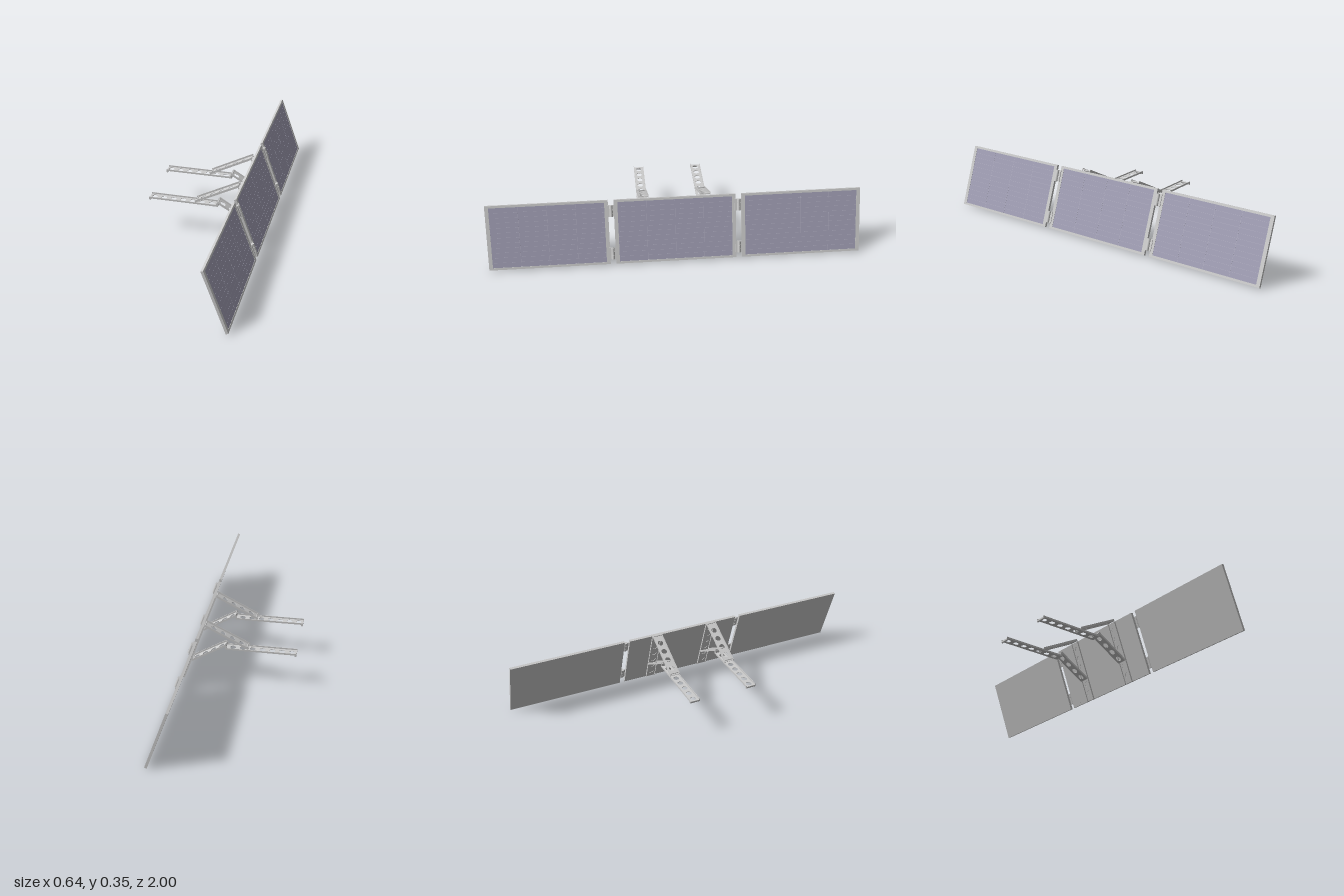
import * as THREE from 'three';

const grey = new THREE.MeshStandardMaterial({ color: 0xcccccc });
const cellMat = new THREE.MeshStandardMaterial({ color: 0xa09eb4 });
const lineMat = new THREE.MeshStandardMaterial({ color: 0xb0aec0 });

const ARM_Z = 0.165, ARM_W = 0.055, WALL = 0.0025;
const SLOPE = 0.346, LENGTH = 0.354;   // panel tilt (radians) and sloped height

function add(parent, name, geometry, material = grey) {
  const mesh = new THREE.Mesh(geometry, material);
  mesh.name = name;
  parent.add(mesh);
  return mesh;
}

// box given by its minimum and maximum corners
function box(parent, name, [x0, y0, z0], [x1, y1, z1], material) {
  const mesh = add(parent, name, new THREE.BoxGeometry(x1 - x0, y1 - y0, z1 - z0), material);
  mesh.position.set((x0 + x1) / 2, (y0 + y1) / 2, (z0 + z1) / 2);
  return mesh;
}

// perforated U channel running along +x, open towards +y
function channel(name, length, depth, first, step, count) {
  const group = new THREE.Group();
  group.name = name;
  const w = ARM_W / 2;
  const shape = new THREE.Shape([[0, -w], [length, -w], [length, w], [0, w]].map(p => new THREE.Vector2(...p)));
  for (let i = 0; i < count; i++) {
    const hole = new THREE.Path();
    hole.absarc(first + i * step, 0, 0.0155, 0, Math.PI * 2, true);
    shape.holes.push(hole);
  }
  const plate = new THREE.ExtrudeGeometry(shape, { depth: WALL, bevelEnabled: false, curveSegments: 20 });
  plate.rotateX(Math.PI / 2).translate(0, WALL, 0);
  add(group, 'web', plate);
  for (const s of [-1, 1]) {
    const z = s * (w - WALL / 2);
    box(group, 'flange', [0, 0, z - WALL / 2], [length, depth, z + WALL / 2]);
  }
  return group;
}

// framed solar panel in the tilted frame: x is the outward normal, y runs up the slope
function panel(name, z0, z1) {
  const group = new THREE.Group();
  group.name = name;
  const back = 0.009, front = 0.0225, b = 0.02, face = front - 0.0015;
  box(group, 'frameBottom', [back, 0, z0], [front, b * 0.6, z1]);
  box(group, 'frameTop', [back, LENGTH - b * 0.6, z0], [front, LENGTH, z1]);
  box(group, 'frameSide', [back, b * 0.6, z0], [front, LENGTH - b * 0.6, z0 + b]);
  box(group, 'frameSide', [back, b * 0.6, z1 - b], [front, LENGTH - b * 0.6, z1]);
  const y0 = b * 0.6, y1 = LENGTH - y0, a0 = z0 + b, a1 = z1 - b;
  box(group, 'backSheet', [back, y0, a0], [back + 0.004, y1, a1]);
  box(group, 'cells', [back + 0.004, y0, a0], [face, y1, a1], cellMat);
  // conductor lines between the cells
  for (let i = 1; i < 4; i++) {
    const z = a0 + (a1 - a0) * i / 4;
    box(group, 'conductor', [face, y0, z - 0.0007], [face + 0.0004, y1, z + 0.0007], lineMat);
  }
  for (let i = 1; i < 12; i++) {
    const y = y0 + (y1 - y0) * i / 12;
    box(group, 'conductor', [face, y - 0.0005, a0], [face + 0.0003, y + 0.0005, a1], lineMat);
  }
  return group;
}

// hinge: two leaves and a round knuckle split in three
function hinge(y0, y1, z) {
  const group = new THREE.Group();
  group.name = 'hinge';
  for (const s of [-1, 1]) {
    const a = z + s * 0.006, b = z + s * 0.021;
    box(group, 'hingeLeaf', [0.0225, y0, Math.min(a, b)], [0.0265, y1, Math.max(a, b)]);
  }
  const part = (y1 - y0) / 3;
  for (let i = 0; i < 3; i++) {
    const knuckle = add(group, 'knuckle', new THREE.CylinderGeometry(0.009, 0.009, part - 0.0015, 20));
    knuckle.position.set(0.027, y0 + part * (i + 0.5), z);
  }
  add(group, 'hingePin', new THREE.CylinderGeometry(0.005, 0.005, y1 - y0, 16)).position.set(0.027, (y0 + y1) / 2, z);
  return group;
}

// support bracket: base arm, upper arm and strut, centred on z = 0
function bracket() {
  const group = new THREE.Group();
  group.name = 'bracket';

  const base = channel('baseArm', 0.385, 0.01, 0.025, 0.0535, 7);
  base.position.set(-0.32, 0.204, 0);
  group.add(base);

  // rounded lip under the far end of the base arm
  box(group, 'lip', [-0.32, 0.2, -ARM_W / 2], [-0.31, 0.206, ARM_W / 2]);
  const roll = add(group, 'lipEdge', new THREE.CylinderGeometry(0.005, 0.005, ARM_W, 20));
  roll.rotation.x = Math.PI / 2;
  roll.position.set(-0.315, 0.2, 0);

  // ears that carry the strut
  const outline = [[0.055, 0.205], [0.065, 0.205], [0.065, 0.22], [0.075, 0.229], [0.065, 0.235], [0.057, 0.226]];
  const ear = new THREE.ExtrudeGeometry(new THREE.Shape(outline.map(p => new THREE.Vector2(...p))),
    { depth: WALL, bevelEnabled: false });
  add(group, 'ear', ear).position.z = -ARM_W / 2;
  add(group, 'ear', ear).position.z = ARM_W / 2 - WALL;
  box(group, 'endWall', [0.0625, 0.204, -ARM_W / 2], [0.065, 0.222, ARM_W / 2]);

  const upper = channel('upperArm', 0.268, 0.012, 0.045, 0.0565, 4);
  upper.position.set(-0.06, 0.214, 0);
  upper.rotation.z = 0.477;
  group.add(upper);

  const strut = channel('strut', 0.218, 0.011, 0.03, 0.0535, 4);
  strut.position.set(0.061, 0.224, 0);
  strut.rotation.z = -0.535;
  group.add(strut);

  // pivot pins
  for (const [x, y] of [[-0.054, 0.224], [0.066, 0.228], [0.172, 0.339], [0.246, 0.12]]) {
    const pin = add(group, 'pivotPin', new THREE.CylinderGeometry(0.003, 0.003, ARM_W - 0.001, 12));
    pin.rotation.x = Math.PI / 2;
    pin.position.set(x, y, 0);
  }
  return group;
}

export function createModel() {
  const model = new THREE.Group();
  model.name = 'foldingSolarPanel';

  // tilted panel assembly
  const tilted = new THREE.Group();
  tilted.name = 'panelAssembly';
  tilted.position.set(0.294, 0, 0);
  tilted.rotation.z = SLOPE;
  tilted.add(panel('centrePanel', -0.325, 0.325), panel('leftPanel', 0.355, 1), panel('rightPanel', -1, -0.355));
  model.add(tilted);

  for (const s of [-1, 1]) {
    for (const y of [0.0285, 0.264]) tilted.add(hinge(y, y + 0.064, s * 0.34));

    // mounting rail on the back of the centre panel
    const rail = channel('mountingRail', LENGTH, 0.009, 0.043, 0.0535, 6);
    rail.rotation.z = Math.PI / 2;
    rail.position.set(0.009, 0, s * ARM_Z);
    tilted.add(rail);

    const support = bracket();
    support.position.z = s * ARM_Z;
    model.add(support);
  }
  return model;
}
